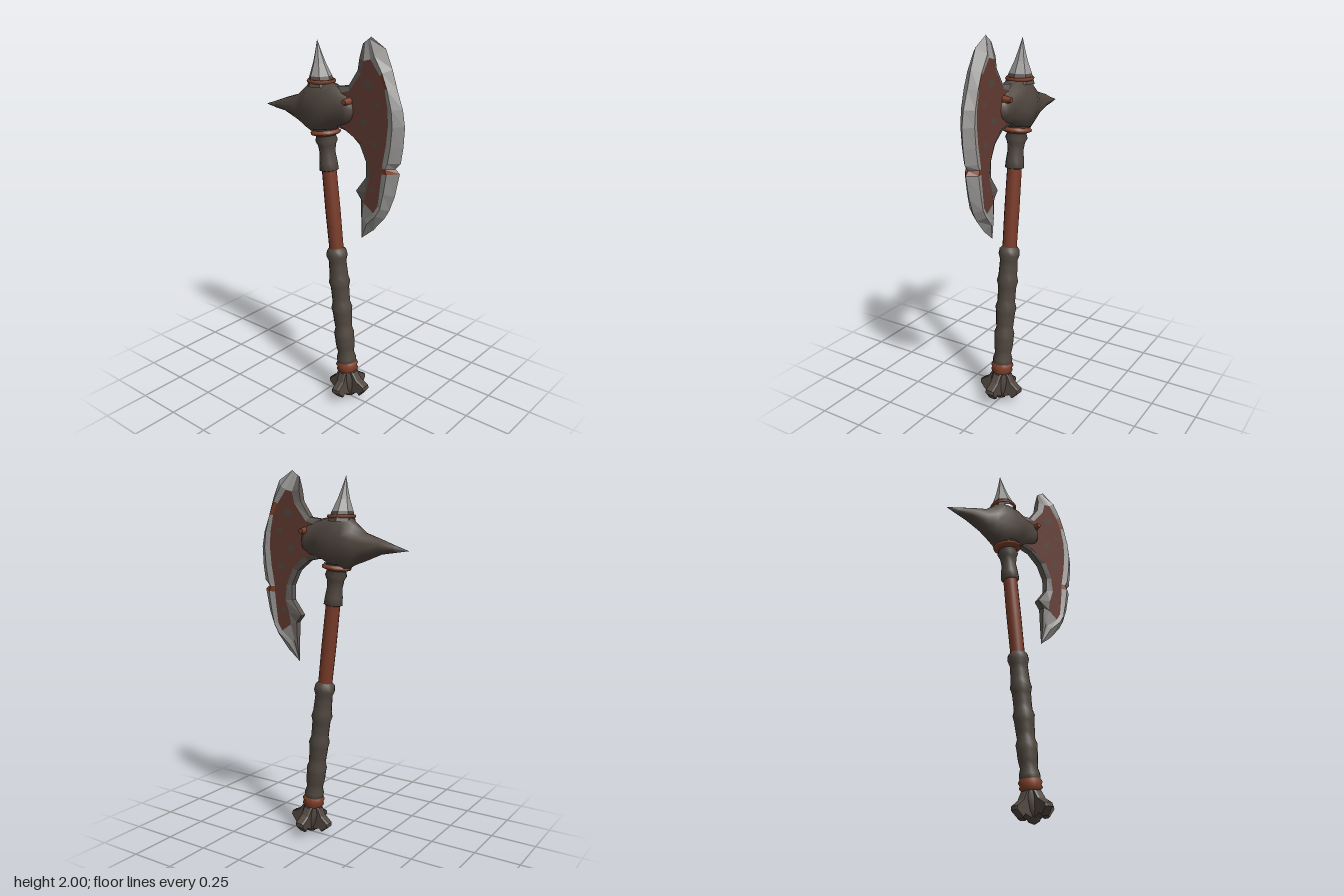
import * as THREE from 'three';
import { mergeVertices } from 'three/addons/utils/BufferGeometryUtils.js';

const mat = (name, color) => {
  const m = new THREE.MeshStandardMaterial({ color });
  m.name = name;
  return m;
};

// Skin closed rings of points; pick(i, j) gives the material index of each quad
function skin(rings, pick, smooth) {
  const buckets = [];
  const n = rings[0].length;
  for (let i = 0; i < rings.length - 1; i++) {
    for (let j = 0; j < n; j++) {
      const k = (j + 1) % n;
      const a = rings[i][j], b = rings[i][k], c = rings[i + 1][j], d = rings[i + 1][k];
      const m = pick(i, j);
      (buckets[m] ??= []).push(...a, ...b, ...c, ...b, ...d, ...c);
    }
  }
  let geo = new THREE.BufferGeometry();
  const all = [];
  buckets.forEach((p, m) => {
    geo.addGroup(all.length / 3, p.length / 3, m);
    for (const v of p) all.push(v);
  });
  geo.setAttribute('position', new THREE.Float32BufferAttribute(all, 3));
  if (smooth) geo = mergeVertices(geo, 1e-4);
  geo.computeVertexNormals();
  return geo;
}

export function createModel() {
  const iron = mat('darkIron', 0x514740);
  const wrap = mat('leatherWrap', 0x50473f);
  const red = mat('rustedFace', 0x633b33);
  const wood = mat('redShaft', 0x793b29);
  const steel = mat('steel', 0x979694);
  const dull = mat('dullSteel', 0x5e5955);
  const rust = mat('rust', 0x7f4029);

  const model = new THREE.Group();
  const add = (name, geo, material, parent = model) => {
    const mesh = new THREE.Mesh(geo, material);
    mesh.name = name;
    parent.add(mesh);
    return mesh;
  };

  // Leaning handle: everything turned around the shaft axis
  const handle = new THREE.Group();
  handle.name = 'handle';
  handle.position.x = 0.142;
  handle.rotation.z = 0.1165;
  model.add(handle);
  const turned = (name, pts, material, sides = 14) =>
    add(name, new THREE.LatheGeometry(pts.map(p => new THREE.Vector2(...p)), sides), material, handle);

  turned('shaft', [[0.038, 0.85], [0.04, 1.1], [0.038, 1.36]], wood);

  // Lumpy wrapped grip
  const grip = [[0.036, 0.2]];
  for (let i = 0; i <= 22; i++) {
    const y = 0.22 + i * 0.03;
    grip.push([0.051 + 0.004 * Math.sin(y * 38) + 0.003 * Math.sin(y * 83), y]);
  }
  grip.push([0.037, 0.895]);
  turned('grip', grip, wrap);

  turned('lowerRing', [[0.045, 0.165], [0.06, 0.18], [0.054, 0.195], [0.062, 0.21], [0.05, 0.23]], rust);
  turned('collar', [[0.036, 1.315], [0.05, 1.32], [0.047, 1.36], [0.041, 1.41], [0.046, 1.45],
    [0.058, 1.475], [0.05, 1.5], [0.07, 1.54]], iron);
  turned('collarRust', [[0.05, 1.5], [0.076, 1.51], [0.078, 1.522], [0.06, 1.535]], rust);

  // Pommel: core with four flared claws
  turned('pommelCore', [[0, 0.005], [0.03, 0.02], [0.05, 0.07], [0.056, 0.13], [0.045, 0.18]], iron, 10);
  const claw = new THREE.Shape([[0.02, 0.18], [0.052, 0.165], [0.075, 0.125], [0.122, 0.095],
    [0.124, 0.075], [0.085, 0.035], [0.07, 0.05], [0.03, 0.03]].map(p => new THREE.Vector2(...p)));
  const clawGeo = new THREE.ExtrudeGeometry(claw, {
    depth: 0.03, bevelSize: 0.004, bevelThickness: 0.01, bevelSegments: 1, bevelOffset: -0.004 });
  clawGeo.translate(0, 0, -0.015);
  for (let i = 0; i < 4; i++) add('pommelClaw', clawGeo, iron, handle).rotation.y = i * Math.PI / 2;

  // Worn top spike
  const top = new THREE.Group();
  top.name = 'topSpike';
  top.position.set(-0.062, 0, 0);
  model.add(top);
  const spike = [[1.74, 0.07], [1.79, 0.054], [1.85, 0.031], [1.91, 0.014], [1.965, 0]].map(([y, r]) =>
    Array.from({ length: 7 }, (_, j) => {
      const a = -j / 7 * Math.PI * 2;
      return [r * Math.cos(a) - (y - 1.74) * 0.12, y, 1.15 * r * Math.sin(a)];
    }));
  add('spike', skin(spike, i => (i < 1 ? 1 : 0), false), [steel, iron], top);
  const band = add('spikeRustBand', new THREE.TorusGeometry(0.065, 0.01, 6, 14), rust, top);
  band.rotation.x = Math.PI / 2;
  band.position.y = 1.765;

  // Head body, running from the rear spike to the blade neck: x, y, half height, half depth
  const body = [[-0.45, 1.6, 0, 0], [-0.375, 1.607, 0.018, 0.02], [-0.3, 1.617, 0.037, 0.04],
    [-0.2, 1.615, 0.073, 0.05], [-0.15, 1.625, 0.105, 0.068], [-0.1, 1.635, 0.142, 0.085],
    [-0.03, 1.635, 0.142, 0.085], [0.03, 1.645, 0.115, 0.08], [0.07, 1.65, 0.098, 0.066],
    [0.12, 1.645, 0.085, 0.062], [0.15, 1.64, 0.06, 0.055], [0.175, 1.64, 0.03, 0.02]];
  const bodyRings = body.map(([x, y, h, d], i) => Array.from({ length: 14 }, (_, j) => {
    const a = j / 14 * Math.PI * 2;
    const k = 1 + 0.035 * Math.sin(j * 2.3 + i * 1.7);
    return [x, y + h * k * Math.cos(a), d * k * Math.sin(a)];
  }));
  add('headAndRearSpike', skin(bodyRings, i => (i < 1 ? 1 : 0), true), [iron, dull]);

  // Small lugs on each side of the neck
  for (const s of [-1, 1]) {
    const lug = add('neckLug', new THREE.CylinderGeometry(0.014, 0.022, 0.05, 6), rust);
    lug.rotation.x = s * Math.PI / 2;
    lug.position.set(0.14, 1.69, s * 0.05);
  }

  // Blade stations: back edge, face start, face end, cutting edge (x, y each)
  const stations = [
    [0.196, 1.965, 0.21, 1.975, 0.225, 1.985, 0.243, 2.0],
    [0.19, 1.9, 0.225, 1.89, 0.265, 1.9, 0.33, 1.95],
    [0.18, 1.84, 0.21, 1.83, 0.32, 1.83, 0.37, 1.86],
    [0.125, 1.76, 0.14, 1.74, 0.35, 1.77, 0.4, 1.77],
    [0.05, 1.75, 0.07, 1.72, 0.37, 1.68, 0.435, 1.68],
    [0.04, 1.65, 0.06, 1.65, 0.375, 1.6, 0.45, 1.6],
    [0.05, 1.55, 0.07, 1.57, 0.365, 1.5, 0.445, 1.5],
    [0.13, 1.535, 0.15, 1.56, 0.35, 1.42, 0.433, 1.42],
    [0.2, 1.48, 0.225, 1.49, 0.345, 1.39, 0.405, 1.39],
    [0.24, 1.4, 0.265, 1.4, 0.345, 1.36, 0.43, 1.37],
    [0.24, 1.32, 0.275, 1.32, 0.335, 1.27, 0.405, 1.25],
    [0.18, 1.24, 0.25, 1.25, 0.325, 1.19, 0.375, 1.17],
    [0.212, 1.2, 0.24, 1.19, 0.3, 1.15, 0.345, 1.12],
    [0.212, 1.09, 0.225, 1.1, 0.24, 1.1, 0.28, 1.045],
    [0.206, 0.985, 0.206, 0.985, 0.206, 0.985, 0.206, 0.985]];
  const last = stations.length - 1;
  const bladeRings = stations.map(([ax, ay, bx, by, cx, cy, ex, ey], i) => {
    const s = i === 0 || i === last ? 0 : i === last - 1 ? 0.7 : 1;
    const rx = cx + (ex - cx) * 0.4, ry = cy + (ey - cy) * 0.4;
    const side = [[rx, ry, 0.04 * s], [cx, cy, 0.032 * s], [bx, by, 0.032 * s], [ax, ay, 0.018 * s]];
    return [[ex, ey, 0], ...side, ...side.map(([x, y, z]) => [x, y, -z]).reverse()];
  });
  const bladePick = (i, j) => {
    const strip = Math.min(j, 8 - j); // 0 edge, 1 ridge, 2 face, 3-4 back edge
    if (i === 0 || i >= last - 2) return strip < 3 ? 0 : 2;
    if (strip === 2) return 1;
    if (strip > 2) return 2;
    return i === 8 || (i === 2 && strip === 1) ? 3 : 0;
  };
  add('blade', skin(bladeRings, bladePick, false), [steel, red, dull, rust]);

  // Dark stains on both blade faces
  const stains = [[0.25, 1.78, 0.028], [0.31, 1.69, 0.02], [0.23, 1.6, 0.026], [0.3, 1.5, 0.022], [0.29, 1.27, 0.018]];
  for (const [x, y, r] of stains) {
    for (const s of [-1, 1]) {
      const stain = add('bladeStain', new THREE.CircleGeometry(r, 6), iron);
      stain.position.set(x, y, s * 0.0335);
      stain.scale.y = 0.7;
      if (s < 0) stain.rotation.y = Math.PI;
    }
  }
  return model;
}
